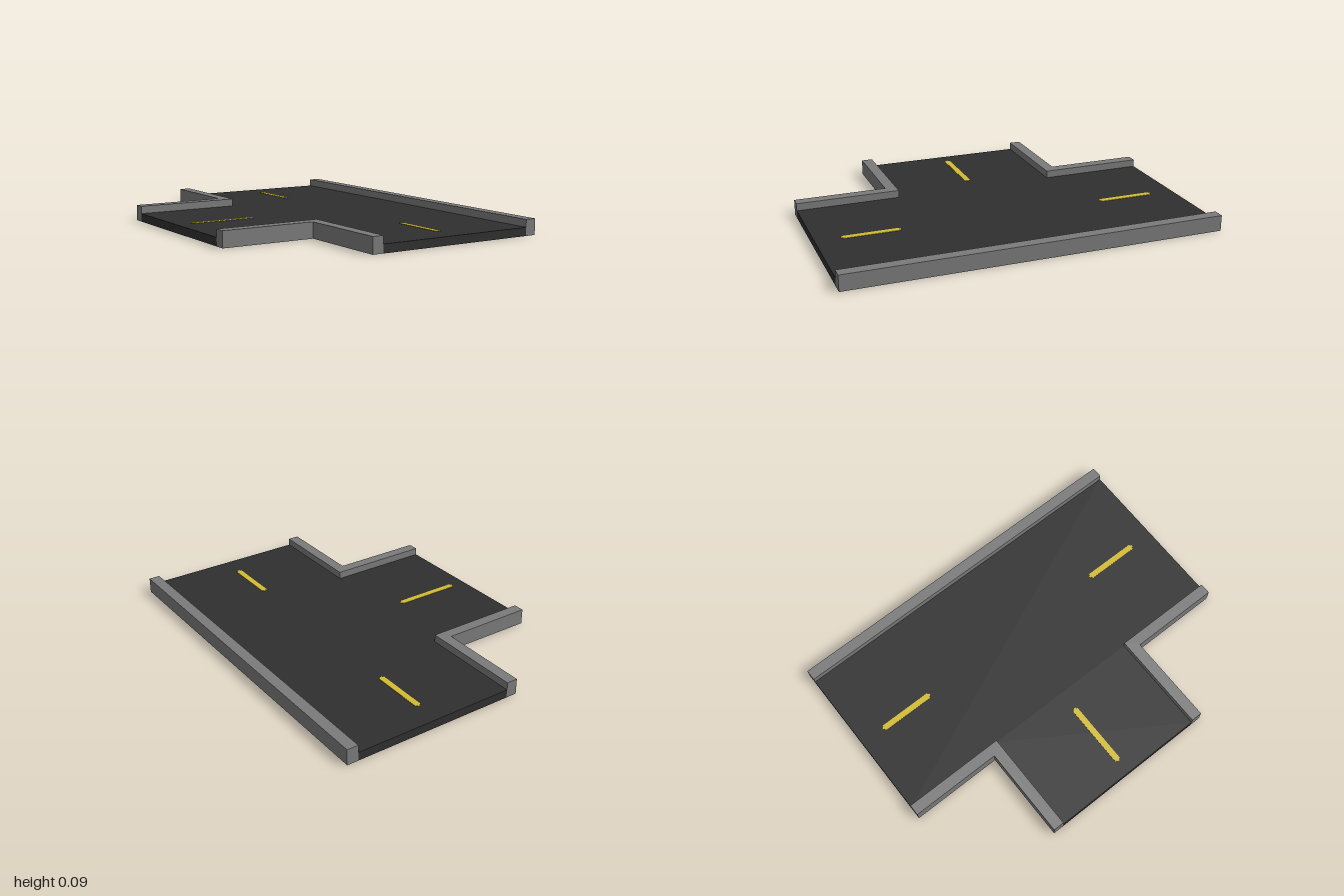
import * as THREE from 'three';

const concrete = new THREE.MeshStandardMaterial({ name: 'concrete grey', color: 0x7b7b7b });
const asphalt = new THREE.MeshStandardMaterial({ name: 'asphalt', color: 0x2f2f2f });
const paint = new THREE.MeshStandardMaterial({ name: 'yellow paint', color: 0xd2bc30 });

const CURB_TOP = 0.085, ROAD_TOP = 0.045;

const outline = (points) => new THREE.Shape(points.map(([x, z]) => new THREE.Vector2(x, -z)));

// Flat slab from a ground-plan outline, between two heights
function slab(name, points, bottom, top, material) {
  const geometry = new THREE.ExtrudeGeometry(outline(points), { depth: top - bottom, bevelEnabled: false });
  geometry.rotateX(-Math.PI / 2);
  const mesh = new THREE.Mesh(geometry, material);
  mesh.name = name;
  mesh.position.y = bottom;
  return mesh;
}

// T-shaped plan: a main strip along z with an arm towards -x
const tPlan = (left, right, arm) => [
  [left, 1], [right, 1], [right, -1], [left, -1],
  [left, -arm], [-0.75, -arm], [-0.75, arm], [left, arm],
];

// Painted dash with slightly stepped ends
function laneDash(name, length, x, z, turn) {
  const a = length / 2, b = a - 0.008, w = 0.016, t = 0.007;
  const dash = slab(name, [
    [-b, w], [b, w], [b, t], [a, t], [a, -t], [b, -t],
    [b, -w], [-b, -w], [-b, -t], [-a, -t], [-a, t], [-b, t],
  ], ROAD_TOP, ROAD_TOP + 0.002, paint);
  dash.position.x = x;
  dash.position.z = z;
  dash.rotation.y = turn;
  return dash;
}

export function createModel() {
  const model = new THREE.Group();
  model.name = 'roadJunction';

  // Road surface between the curbs
  model.add(slab('road', tPlan(-0.19, 0.69, 0.44), 0.001, ROAD_TOP, asphalt));

  // Underside
  const base = new THREE.Mesh(new THREE.ShapeGeometry(outline(tPlan(-0.25, 0.75, 0.5))), concrete);
  base.name = 'underside';
  base.geometry.rotateX(-Math.PI / 2);
  base.geometry.index.array.reverse(); // face downwards
  const normals = base.geometry.attributes.normal;
  for (let i = 0; i < normals.count; i++) normals.setXYZ(i, 0, -1, 0);
  model.add(base);

  // Straight curb
  model.add(slab('straightCurb', [[0.69, 1], [0.75, 1], [0.75, -1], [0.69, -1]], 0.001, CURB_TOP, concrete));

  // Corner curbs and lane dashes, front and back
  for (const s of [1, -1]) {
    const side = s > 0 ? 'front' : 'back';
    model.add(slab(side + 'CornerCurb', [
      [-0.19, s], [-0.19, s * 0.44], [-0.75, s * 0.44],
      [-0.75, s * 0.5], [-0.25, s * 0.5], [-0.25, s],
    ], 0.001, CURB_TOP, concrete));
    model.add(laneDash(side + 'LaneDash', 0.31, 0.245, s * 0.712, Math.PI / 2));
  }
  model.add(laneDash('armLaneDash', 0.37, -0.485, 0, 0));

  return model;
}
